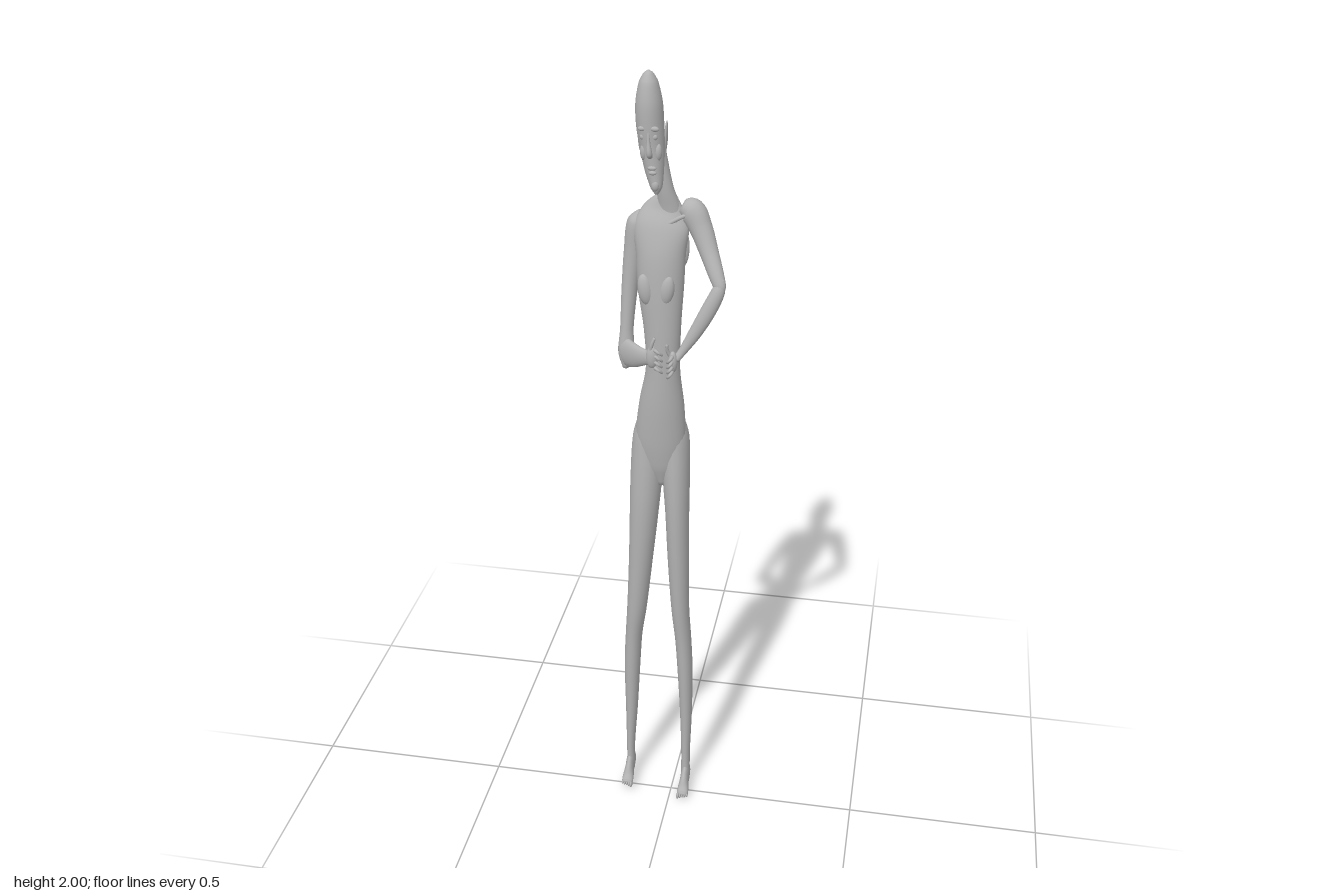
import * as THREE from 'three';

const skin = new THREE.MeshStandardMaterial({ color: 0xb2b2b2 });
skin.name = 'stone grey';
const FRONT = new THREE.Vector3(0, 0, 1);
const UP = new THREE.Vector3(0, 1, 0);

// Smooth closed skin over elliptical rings [x, y, z, halfWidth, halfDepth].
function loft(name, rings, { facing = FRONT, sides = 20, steps = 5, groove = 0 } = {}) {
  const path = new THREE.CatmullRomCurve3(rings.map(r => new THREE.Vector3(r[0], r[1], r[2])));
  const size = new THREE.CatmullRomCurve3(rings.map((r, i) => new THREE.Vector3(r[3], r[4], i * 0.02)));
  const count = (rings.length - 1) * steps, pos = [], idx = [];
  for (let i = 0; i <= count; i++) {
    const t = i / count, c = path.getPoint(t), s = size.getPoint(t), T = path.getTangent(t);
    const U = new THREE.Vector3().crossVectors(T, facing).normalize();
    const V = new THREE.Vector3().crossVectors(U, T);
    for (let j = 0; j < sides; j++) {
      const a = j / sides * Math.PI * 2, cos = Math.cos(a), sin = Math.sin(a);
      // spine furrow along the back
      const dent = sin < 0 ? 1 - groove * Math.exp(-cos * cos * 14) : 1;
      const p = c.clone().addScaledVector(U, cos * Math.max(s.x, 0.0004))
        .addScaledVector(V, sin * dent * Math.max(s.y, 0.0004));
      pos.push(p.x, p.y, p.z);
    }
  }
  for (let i = 0; i < count; i++) for (let j = 0; j < sides; j++) {
    const a = i * sides + j, b = i * sides + (j + 1) % sides;
    idx.push(a, a + sides, b, b, a + sides, b + sides);
  }
  // end caps
  const first = rings[0], last = rings[rings.length - 1], n = pos.length / 3;
  pos.push(first[0], first[1], first[2], last[0], last[1], last[2]);
  for (let j = 0; j < sides; j++) {
    const k = (j + 1) % sides, e = count * sides;
    idx.push(n, j, k, n + 1, e + k, e + j);
  }
  const g = new THREE.BufferGeometry();
  g.setAttribute('position', new THREE.Float32BufferAttribute(pos, 3));
  g.setIndex(idx);
  g.computeVertexNormals();
  const m = new THREE.Mesh(g, skin);
  m.name = name;
  return m;
}

// Ellipsoid for rounded details.
function blob(name, [x, y, z], [rx, ry, rz], tilt = 0) {
  const m = new THREE.Mesh(new THREE.SphereGeometry(1, 16, 12), skin);
  m.position.set(x, y, z);
  m.scale.set(rx, ry, rz);
  m.rotation.z = tilt;
  m.name = name;
  return m;
}

// Tapering finger through a few points.
function finger(name, points, r = 0.004) {
  const rings = points.map((p, i) => [...p, r * (1 - i * 0.15), r * (1 - i * 0.15)]);
  return loft(name, rings, { facing: new THREE.Vector3(0.9, 0.1, 0.4).normalize(), sides: 8, steps: 4 });
}

function makeFoot(name, x, base, shift) {
  const foot = new THREE.Group();
  foot.name = name;
  foot.add(loft('footBody', [
    [0, 0.022, -0.048, 0.003, 0.006], [0, 0.03, -0.043, 0.010, 0.027], [0, 0.038, -0.028, 0.012, 0.037],
    [0, 0.031, -0.008, 0.012, 0.030], [0, 0.019, 0.012, 0.015, 0.018], [0, 0.012, 0.026, 0.015, 0.011],
    [0, 0.010, 0.032, 0.010, 0.006],
  ], { facing: UP }));
  const inner = x < -0.03 ? 1 : -1;
  for (let i = 0; i < 5; i++) {
    const r = i === 0 ? 0.0042 : 0.003;
    foot.add(blob('toe', [inner * (0.0115 - i * 0.006), 0.009, 0.034 - i * 0.002], [r, r * 2, 0.009]));
  }
  foot.position.set(x, base, shift);
  return foot;
}

export function createModel() {
  const body = new THREE.Group();
  body.name = 'slenderFigure';

  // Torso and neck
  body.add(loft('torso', [
    [-0.026, 0.975, -0.022, 0.012, 0.018], [-0.029, 1.03, -0.024, 0.05, 0.036], [-0.03, 1.1, -0.022, 0.062, 0.043],
    [-0.026, 1.2, -0.015, 0.055, 0.043], [-0.021, 1.3, -0.006, 0.041, 0.036], [-0.022, 1.4, -0.006, 0.044, 0.036],
    [-0.027, 1.5, -0.015, 0.054, 0.042], [-0.028, 1.58, -0.022, 0.058, 0.041], [-0.028, 1.64, -0.031, 0.064, 0.033],
    [-0.022, 1.68, -0.042, 0.05, 0.023], [-0.014, 1.715, -0.042, 0.022, 0.015],
  ], { sides: 32, groove: 0.14 }));
  body.add(loft('neck', [
    [-0.012, 1.62, -0.04, 0.035, 0.022], [-0.012, 1.68, -0.041, 0.028, 0.021], [-0.02, 1.73, -0.034, 0.02, 0.019],
    [-0.034, 1.79, -0.034, 0.021, 0.022], [-0.042, 1.84, -0.034, 0.02, 0.02],
  ]));
  for (const [x, tilt] of [[-0.058, 0.15], [-0.008, -0.15]])
    body.add(blob('breast', [x, 1.505, 0.016], [0.018, 0.038, 0.014], tilt));
  for (const x of [-0.07, 0.012]) body.add(blob('shoulderBlade', [x, 1.59, -0.05], [0.022, 0.055, 0.012]));
  body.add(finger('collarboneRight', [[-0.02, 1.655, -0.012], [-0.055, 1.655, -0.018], [-0.09, 1.66, -0.032]], 0.006));
  body.add(finger('collarboneLeft', [[-0.012, 1.655, -0.012], [0.015, 1.67, -0.018], [0.045, 1.68, -0.03]], 0.006));

  // Head
  const head = new THREE.Group();
  head.name = 'head';
  head.add(loft('skull', [
    [-0.034, 1.728, -0.004, 0.004, 0.005], [-0.035, 1.742, -0.007, 0.013, 0.015], [-0.041, 1.78, -0.018, 0.022, 0.027],
    [-0.047, 1.83, -0.025, 0.028, 0.034], [-0.052, 1.88, -0.026, 0.031, 0.037], [-0.054, 1.93, -0.025, 0.030, 0.035],
    [-0.055, 1.975, -0.025, 0.021, 0.025], [-0.055, 1.994, -0.025, 0.010, 0.012], [-0.055, 2.0, -0.025, 0.001, 0.001],
  ], { sides: 28 }));
  head.add(loft('nose', [
    [-0.05, 1.878, 0.005, 0.003, 0.004], [-0.049, 1.85, 0.010, 0.004, 0.006],
    [-0.047, 1.825, 0.013, 0.007, 0.008], [-0.046, 1.815, 0.008, 0.005, 0.004],
  ], { sides: 12 }));
  for (const s of [-1, 1]) {
    head.add(blob('brow', [-0.05 + s * 0.013, 1.879, 0.005], [0.011, 0.006, 0.006], s * -0.1));
    head.add(blob('eye', [-0.05 + s * 0.013, 1.86, 0.003], [0.007, 0.007, 0.005]));
    head.add(blob('cheek', [-0.046 + s * 0.016, 1.825, -0.003], [0.009, 0.02, 0.009]));
    head.add(blob('ear', [-0.049 + s * 0.030, 1.85, -0.04], [0.004, 0.036, 0.011], s * -0.05));
  }
  head.add(blob('upperLip', [-0.042, 1.791, 0.008], [0.010, 0.005, 0.005]));
  head.add(blob('lowerLip', [-0.041, 1.78, 0.007], [0.009, 0.005, 0.005]));
  head.add(blob('chin', [-0.036, 1.75, 0.003], [0.009, 0.013, 0.007]));
  body.add(head);

  // Legs
  body.add(loft('rightLeg', [
    [-0.058, 1.17, -0.024, 0.022, 0.026], [-0.064, 1.1, -0.032, 0.037, 0.042], [-0.067, 1.0, -0.027, 0.04, 0.044],
    [-0.072, 0.9, -0.02, 0.037, 0.041], [-0.082, 0.75, -0.018, 0.031, 0.036], [-0.094, 0.6, -0.02, 0.026, 0.031],
    [-0.105, 0.5, -0.027, 0.022, 0.029], [-0.111, 0.4, -0.03, 0.021, 0.027], [-0.115, 0.25, -0.032, 0.016, 0.022],
    [-0.119, 0.12, -0.031, 0.011, 0.017], [-0.119, 0.05, -0.03, 0.011, 0.017],
  ]));
  body.add(loft('leftLeg', [
    [0, 1.17, -0.024, 0.022, 0.026], [0.004, 1.1, -0.033, 0.035, 0.042], [0.008, 1.0, -0.027, 0.034, 0.044],
    [0.012, 0.9, -0.02, 0.030, 0.041], [0.016, 0.75, -0.018, 0.027, 0.036], [0.021, 0.6, -0.02, 0.023, 0.031],
    [0.028, 0.5, -0.026, 0.021, 0.029], [0.033, 0.4, -0.028, 0.020, 0.027], [0.036, 0.25, -0.03, 0.016, 0.022],
    [0.036, 0.12, -0.028, 0.012, 0.017], [0.036, 0.04, -0.027, 0.012, 0.017],
  ]));
  body.add(makeFoot('rightFoot', -0.12, 0.014, -0.004), makeFoot('leftFoot', 0.037, 0, 0.003));

  // Right arm, hanging to the elbow, then folded across the belly
  body.add(loft('rightUpperArm', [
    [-0.078, 1.672, -0.044, 0.008, 0.010], [-0.087, 1.645, -0.044, 0.024, 0.025], [-0.096, 1.58, -0.043, 0.023, 0.024],
    [-0.106, 1.48, -0.036, 0.019, 0.021], [-0.111, 1.39, -0.024, 0.016, 0.018], [-0.112, 1.33, -0.015, 0.019, 0.017],
    [-0.113, 1.289, -0.012, 0.007, 0.007],
  ]));
  body.add(loft('rightForearm', [
    [-0.126, 1.325, -0.02, 0.008, 0.018], [-0.112, 1.33, -0.012, 0.016, 0.036], [-0.09, 1.335, 0.01, 0.014, 0.032],
    [-0.065, 1.342, 0.032, 0.011, 0.023], [-0.045, 1.348, 0.046, 0.008, 0.017],
  ], { facing: UP }));
  const rightHand = new THREE.Group();
  rightHand.name = 'rightHand';
  rightHand.add(blob('palm', [-0.037, 1.35, 0.049], [0.014, 0.028, 0.010]));
  for (let i = 0; i < 4; i++) {
    const y = 1.37 - i * 0.015;
    rightHand.add(finger('finger', [[-0.03, y, 0.053], [-0.02, y - 0.003, 0.059], [-0.012, y - 0.012, 0.052]], 0.0045));
  }
  rightHand.add(finger('thumb', [[-0.042, 1.36, 0.05], [-0.036, 1.385, 0.052], [-0.03, 1.4, 0.05]], 0.005));
  body.add(rightHand);

  // Left arm, elbow held out
  body.add(loft('leftUpperArm', [
    [0.018, 1.69, -0.044, 0.018, 0.018], [0.04, 1.68, -0.042, 0.031, 0.027], [0.062, 1.645, -0.034, 0.027, 0.026],
    [0.085, 1.595, -0.014, 0.022, 0.021], [0.106, 1.55, 0.01, 0.018, 0.016], [0.117, 1.525, 0.022, 0.014, 0.012],
    [0.121, 1.508, 0.027, 0.005, 0.005],
  ]));
  body.add(loft('leftForearm', [
    [0.120, 1.545, 0.018, 0.007, 0.007], [0.113, 1.515, 0.024, 0.016, 0.014], [0.09, 1.465, 0.032, 0.018, 0.014],
    [0.06, 1.41, 0.039, 0.015, 0.012], [0.035, 1.37, 0.046, 0.010, 0.009], [0.02, 1.35, 0.053, 0.009, 0.008],
  ]));
  const leftHand = new THREE.Group();
  leftHand.name = 'leftHand';
  leftHand.add(blob('palm', [0.014, 1.345, 0.056], [0.011, 0.027, 0.012]));
  for (let i = 0; i < 4; i++) {
    const y = 1.362 - i * 0.013;
    leftHand.add(finger('finger', [[0.014, y, 0.062], [0.011, y - 0.004, 0.075], [0.003, y - 0.014, 0.069]], 0.0045));
  }
  leftHand.add(finger('thumb', [[0.01, 1.355, 0.054], [0.002, 1.375, 0.06], [0.001, 1.392, 0.064]], 0.005));
  body.add(leftHand);

  return body;
}
